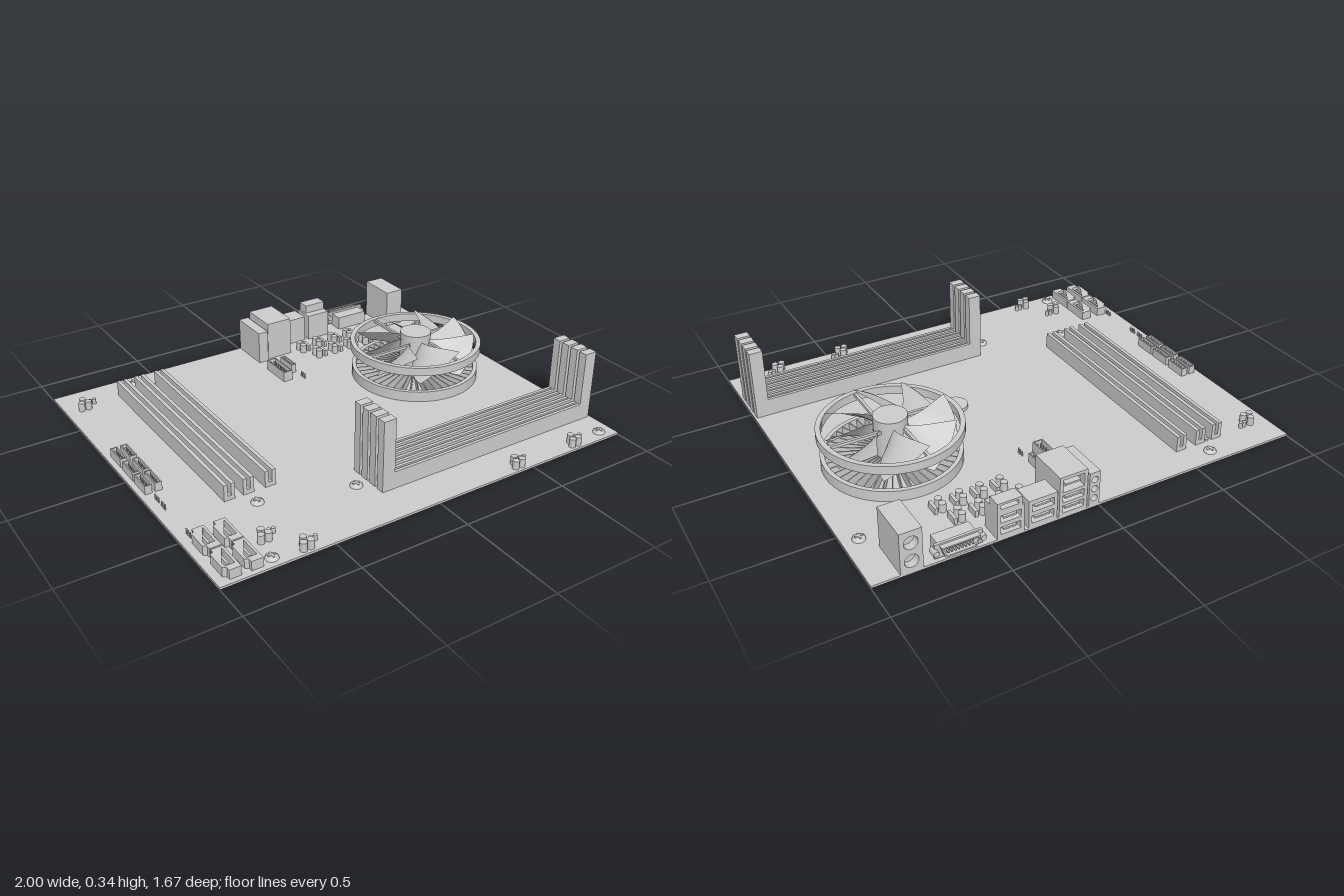
import * as THREE from 'three';
import { mergeVertices } from 'three/addons/utils/BufferGeometryUtils.js';

const mat = new THREE.MeshStandardMaterial({ color: 0xcccccc });
const thinMat = new THREE.MeshStandardMaterial({ color: 0xcccccc, side: THREE.DoubleSide });
const TOP = 0.01; // upper face of the board

function add(parent, name, geo, x = 0, y = 0, z = 0, m = mat) {
  const mesh = new THREE.Mesh(geo, m);
  mesh.name = name;
  mesh.position.set(x, y, z);
  parent.add(mesh);
  return mesh;
}
function group(parent, name, x = 0, y = 0, z = 0) {
  const g = new THREE.Group();
  g.name = name;
  g.position.set(x, y, z);
  parent.add(g);
  return g;
}
// Box given by its limits
function box(parent, name, x0, x1, y0, y1, z0, z1) {
  return add(parent, name, new THREE.BoxGeometry(x1 - x0, y1 - y0, z1 - z0),
    (x0 + x1) / 2, (y0 + y1) / 2, (z0 + z1) / 2);
}
// Upright cylinder standing on y0
function disc(parent, name, x, z, r, y0, y1, seg = 20) {
  return add(parent, name, new THREE.CylinderGeometry(r, r, y1 - y0, seg), x, (y0 + y1) / 2, z);
}
function poly(points) {
  return new THREE.Shape(points.map(p => new THREE.Vector2(...p)));
}
function rectHole(x0, x1, y0, y1) {
  return new THREE.Path([[x0, y0], [x0, y1], [x1, y1], [x1, y0]].map(p => new THREE.Vector2(...p)));
}
function roundHole(x, y, r) {
  return new THREE.Path().absarc(x, y, r, 0, Math.PI * 2, true);
}
function extrude(shape, depth) {
  return new THREE.ExtrudeGeometry(shape, { depth, bevelEnabled: false, curveSegments: 12 });
}

// Expansion slot: U profile run along z
function expansionSlot(parent, x) {
  const u = poly([[-0.025, 0], [0.025, 0], [0.025, 0.075], [0.008, 0.075], [0.008, 0.02],
    [-0.008, 0.02], [-0.008, 0.075], [-0.025, 0.075]]);
  add(parent, 'expansionSlot', extrude(u, 1.06), x, TOP, -0.7);
}

// Memory slot: long grooved rail between two tall latches
function memorySlot(parent, z) {
  const g = group(parent, 'memorySlot', 0, 0, z);
  box(g, 'railBase', -0.1, 0.93, TOP, 0.07, -0.02, 0.02);
  for (const s of [-1, 1]) box(g, 'railWall', -0.1, 0.93, 0.07, 0.09, s * 0.0125 - 0.0075, s * 0.0125 + 0.0075);
  for (const x of [-0.16, 0.93]) box(g, 'latch', x, x + 0.06, TOP, 0.34, -0.02, 0.02);
}

// Rear port housing with openings cut into its rear face
function rearPort(parent, name, x0, x1, y1, zFront, holes, y0 = TOP) {
  const g = group(parent, name), lip = 0.035;
  const face = poly([[x0, y0], [x1, y0], [x1, y1], [x0, y1]]);
  face.holes = holes;
  add(g, 'portFace', extrude(face, lip), 0, 0, -0.83);
  box(g, 'portBody', x0, x1, y0, y1, -0.83 + lip, zFront);
  return g;
}
// Stack of rectangular sockets with contact tongues
function socketStack(parent, x0, x1, y1, zFront, rows) {
  const holes = rows.map(([a, b]) => rectHole(x0 + 0.015, x1 - 0.015, a, b));
  const g = rearPort(parent, 'socketStack', x0, x1, y1, zFront, holes);
  for (const [a, b] of rows) {
    const y = (a + b) / 2;
    box(g, 'contactTongue', x0 + 0.03, x1 - 0.03, y - 0.004, y + 0.004, -0.825, -0.79);
  }
}

// One fan blade: plane bent into a swept, pitched and cambered leaf
function bladeGeometry() {
  const geo = new THREE.PlaneGeometry(1, 1, 8, 6);
  const p = geo.attributes.position;
  for (let i = 0; i < p.count; i++) {
    const u = p.getX(i) + 0.5, v = p.getY(i);
    const r = 0.07 + 0.21 * u;
    const a = -0.3 * u + v * (0.5 + 0.28 * Math.sin(u * 2.2));
    const y = 0.155 - v * (0.09 + 0.04 * u) + 0.018 * (0.25 - v * v);
    p.setXYZ(i, r * Math.cos(a), y, r * Math.sin(a));
  }
  geo.computeVertexNormals();
  return geo;
}

// Ring with rectangular section
function ringGeometry(rIn, rOut, y0, y1) {
  const s = new THREE.Shape().absarc(0, 0, rOut, 0, Math.PI * 2);
  s.holes.push(new THREE.Path().absarc(0, 0, rIn, 0, Math.PI * 2, true));
  const geo = new THREE.ExtrudeGeometry(s, { depth: y1 - y0, bevelEnabled: false, curveSegments: 28 });
  return geo.rotateX(-Math.PI / 2).translate(0, y0, 0);
}

function cooler(parent) {
  const g = group(parent, 'processorCooler', 0.59, 0, -0.135);
  add(g, 'heatsinkRim', ringGeometry(0.285, 0.305, TOP, 0.06));
  const fin = new THREE.BoxGeometry(0.22, 0.045, 0.005).translate(0.18, 0.0335, 0);
  for (let i = 0; i < 44; i++) add(g, 'heatsinkFin', fin).rotation.y = i * Math.PI / 22;
  add(g, 'fanRing', ringGeometry(0.292, 0.315, 0.15, 0.19));
  disc(g, 'fanHub', 0, 0, 0.074, TOP, 0.232, 36);
  const blade = bladeGeometry();
  for (let i = 0; i < 8; i++) add(g, 'fanBlade', blade, 0, 0, 0, thinMat).rotation.y = i * Math.PI / 4 + 0.3;
  const strut = new THREE.BoxGeometry(0.24, 0.014, 0.013).translate(0.18, 0.182, -0.035);
  for (let i = 0; i < 4; i++) add(g, 'fanStrut', strut).rotation.y = i * Math.PI / 2;
}

// Domed mounting screw with a cross of raised ribs
function screw(parent, x, z) {
  const g = group(parent, 'mountingScrew', x, TOP, z);
  const profile = [[0.028, 0], [0.026, 0.007], [0.018, 0.013], [0, 0.016]].map(p => new THREE.Vector2(...p));
  add(g, 'screwHead', mergeVertices(new THREE.LatheGeometry(profile, 18)));
  for (const a of [0, 1]) add(g, 'screwRib', new THREE.BoxGeometry(0.035, 0.006, 0.008), 0, 0.014, 0).rotation.y = a * Math.PI / 2;
}

// Group of three large and two small capacitors
function capacitorCluster(parent, x, z) {
  const g = group(parent, 'capacitorCluster', x, 0, z);
  for (const [dx, dz] of [[0, 0], [0.016, 0.032], [-0.017, 0.032]]) disc(g, 'capacitor', dx - 0.005, dz, 0.015, TOP, 0.05, 14);
  for (const dx of [0.03, 0.05]) disc(g, 'smallCapacitor', dx, 0, 0.009, TOP, 0.035, 12);
}

// Open-topped rectangular header with pins
function header(parent, x, z, w, d, h, pins) {
  const g = group(parent, 'pinHeader', x, TOP, z);
  const s = poly([[-w / 2, -d / 2], [w / 2, -d / 2], [w / 2, d / 2], [-w / 2, d / 2]]);
  s.holes.push(rectHole(-w / 2 + 0.005, w / 2 - 0.005, -d / 2 + 0.005, d / 2 - 0.005));
  add(g, 'headerWall', extrude(s, h).rotateX(-Math.PI / 2));
  for (let i = 0; i < pins; i++) for (const k of [-1, 1]) {
    add(g, 'pin', new THREE.BoxGeometry(0.004, h * 0.8, 0.004), k * w * 0.18, h * 0.4, ((i + 0.5) / pins - 0.5) * (d - 0.015));
  }
}

// Drive connector: notched shell around an L-shaped tongue
function driveConnector(parent, x, z) {
  const g = group(parent, 'driveConnector', x, TOP, z);
  const s = poly([[-0.018, -0.073], [0.033, -0.073], [0.033, 0.073], [-0.018, 0.073], [-0.018, 0.055],
    [-0.033, 0.045], [-0.033, -0.045], [-0.018, -0.055]]);
  s.holes.push(rectHole(-0.02, 0.022, -0.042, 0.06));
  add(g, 'connectorShell', extrude(s, 0.042).rotateX(-Math.PI / 2));
  add(g, 'connectorTongue', new THREE.BoxGeometry(0.01, 0.035, 0.08), 0.002, 0.0175, -0.01);
}

export function createModel() {
  const model = new THREE.Group();
  model.name = 'mainboard';
  box(model, 'board', -1, 1, 0, TOP, -0.83, 0.83);

  // Slots
  for (const x of [-0.705, -0.617, -0.515]) expansionSlot(model, x);
  for (const z of [0.467, 0.522, 0.577, 0.632]) memorySlot(model, z);
  cooler(model);
  disc(model, 'roundChip', 0.17, 0.09, 0.058, TOP, 0.028, 32);

  // Rear panel
  rearPort(model, 'audioJacks', 0, 0.05, 0.17, -0.63, [0.045, 0.09, 0.135].map(y => roundHole(0.025, y, 0.015)));
  socketStack(model, 0.06, 0.19, 0.2, -0.645, [[0.025, 0.06], [0.075, 0.11], [0.125, 0.185]]);
  socketStack(model, 0.2, 0.33, 0.14, -0.735, [[0.03, 0.065], [0.085, 0.12]]);
  socketStack(model, 0.35, 0.47, 0.14, -0.73, [[0.03, 0.065], [0.085, 0.12]]);
  rearPort(model, 'upperSocket', 0.36, 0.47, 0.18, -0.77, [rectHole(0.375, 0.455, 0.15, 0.17)], 0.14);
  rearPort(model, 'roundPorts', 0.785, 0.88, 0.2, -0.64, [0.06, 0.145].map(y => roundHole(0.8325, y, 0.03)));

  // Display connector with flanking screws and rows of pins
  const display = group(model, 'displayConnector');
  box(display, 'connectorBase', 0.55, 0.715, TOP, 0.075, -0.81, -0.745);
  box(display, 'connectorPlate', 0.53, 0.735, 0.02, 0.085, -0.822, -0.81);
  const dShape = poly([[0.565, 0.03], [0.7, 0.03], [0.715, 0.078], [0.55, 0.078]]);
  dShape.holes.push(new THREE.Path([[0.571, 0.036], [0.558, 0.072], [0.707, 0.072], [0.694, 0.036]].map(p => new THREE.Vector2(...p))));
  add(display, 'connectorShell', extrude(dShape, 0.025), 0, 0, -0.845);
  for (let i = 0; i < 8; i++) for (const y of [0.046, 0.062]) {
    box(display, 'pin', 0.577 + i * 0.015, 0.583 + i * 0.015, y - 0.003, y + 0.003, -0.84, -0.82);
  }
  for (const x of [0.533, 0.735]) {
    add(display, 'connectorScrew', new THREE.CylinderGeometry(0.014, 0.014, 0.04, 6).rotateX(Math.PI / 2), x, 0.054, -0.82);
  }

  // Fasteners and small electronics
  for (const [x, z] of [[-0.62, -0.765], [-0.62, 0.435], [-0.22, 0.55], [-0.755, 0.78], [0.93, 0.78], [0.93, -0.56]]) screw(model, x, z);
  for (const [x, z] of [[-0.905, -0.688], [-0.72, 0.645], [-0.61, 0.773], [0.44, 0.773], [0.765, 0.773]]) capacitorCluster(model, x, z);
  for (let i = 0; i < 4; i++) {
    for (const [x, z] of [[0.25 + i * 0.094, -0.638], [0.288 + i * 0.094, -0.545]]) {
      for (const s of [-1, 1]) disc(model, 'regulatorCapacitor', x, z + s * 0.018, 0.016, TOP, 0.05, 14);
      box(model, 'coil', x + 0.026, x + 0.04, TOP, 0.04, z - 0.03, z + 0.03);
    }
  }
  for (const x of [-0.96, -0.915]) for (const z of [-0.155, -0.03, 0.09]) header(model, x, z, 0.032, 0.105, 0.04, 5);
  header(model, 0.022, -0.47, 0.048, 0.16, 0.05, 8);
  header(model, 0.088, -0.5, 0.026, 0.105, 0.045, 4);
  for (const x of [-0.93, -0.838]) for (const z of [0.582, 0.735]) driveConnector(model, x, z);
  for (const [x, z] of [[-0.66, -0.69], [-0.66, -0.455], [-0.66, -0.2], [-0.57, -0.52], [-0.57, -0.33], [-0.57, 0.005], [-0.57, 0.195]]) {
    disc(model, 'indicator', x, z, 0.009, TOP, 0.018, 12);
  }
  for (const [x, z] of [[-0.955, 0.19], [-0.955, 0.25], [-0.955, 0.47], [0.1, -0.4]]) {
    for (let i = 0; i < 3; i++) box(model, 'jumperPin', x, x + 0.005, TOP, 0.035, z + i * 0.015, z + i * 0.015 + 0.005);
  }
  return model;
}
